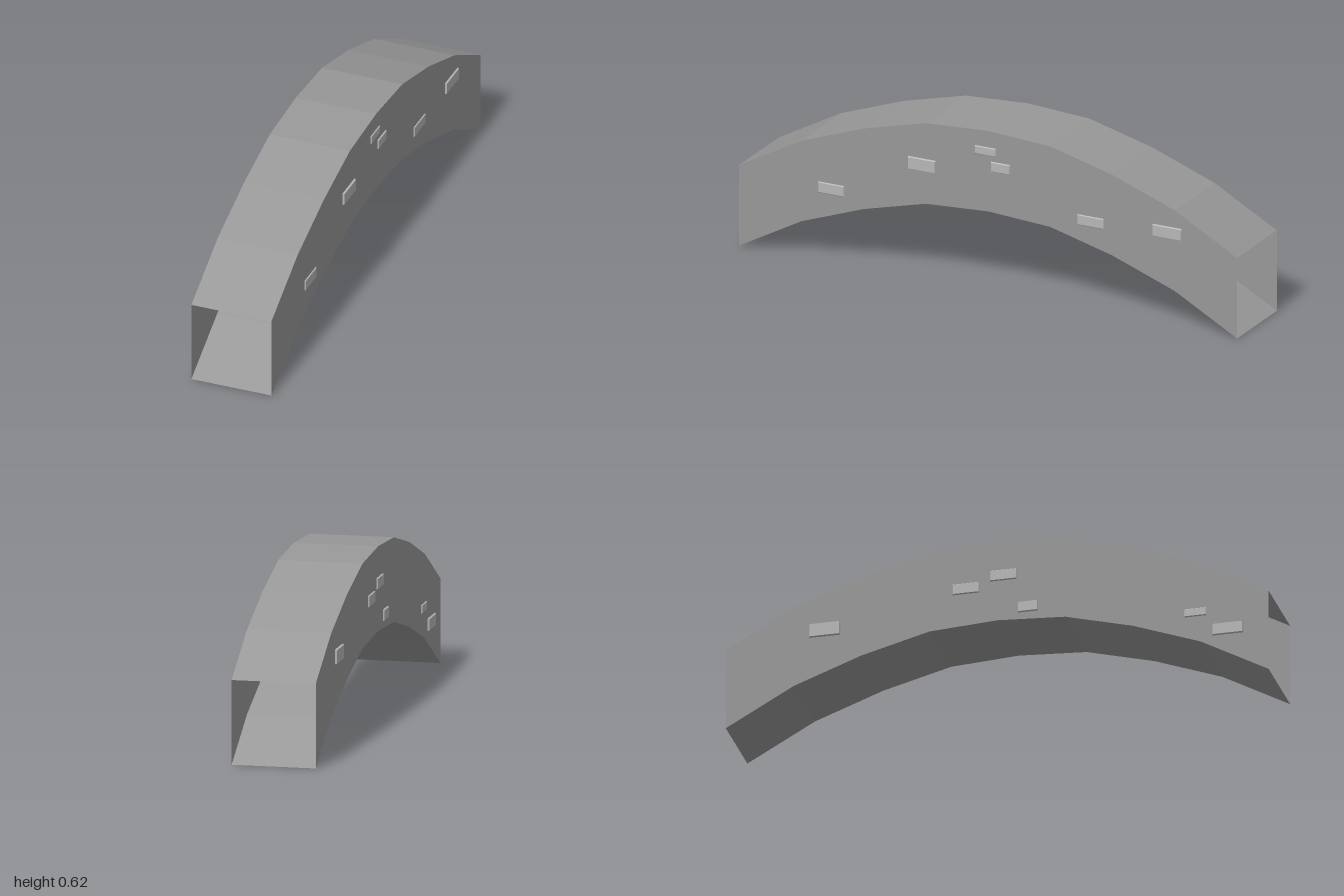
import * as THREE from 'three';

const HALF_WIDTH = 0.154;
const DEPTH = 0.308;
// underside of the arch: z, y
const UNDERSIDE = [
  [1, 0], [0.75, 0.137], [0.5, 0.228], [0.25, 0.293], [0, 0.308],
  [-0.25, 0.293], [-0.5, 0.228], [-0.75, 0.137], [-1, 0],
];

// raised stones on each side: z, y, length, height, projection
const LEFT_STONES = [
  [0.63, 0.281, 0.106, 0.042, 0.004],
  [0.265, 0.44, 0.114, 0.048, 0.007],
  [0.011, 0.537, 0.086, 0.032, 0.004],
  [-0.051, 0.482, 0.078, 0.038, 0.005],
  [-0.412, 0.342, 0.108, 0.04, 0.004],
  [-0.72, 0.356, 0.12, 0.046, 0.006],
];
const RIGHT_STONES = [
  [-0.635, 0.346, 0.115, 0.054, 0.007],
  [-0.115, 0.446, 0.1, 0.042, 0.005],
  [0.023, 0.484, 0.1, 0.042, 0.005],
  [0.113, 0.35, 0.075, 0.042, 0.006],
  [0.73, 0.254, 0.084, 0.032, 0.004],
  [0.85, 0.178, 0.115, 0.046, 0.006],
];

// hollow rectangular band swept along the underside, open at both ends
function archGeometry() {
  const positions = [];
  const section = ([z, y]) => [
    [HALF_WIDTH, y, z], [HALF_WIDTH, y + DEPTH, z],
    [-HALF_WIDTH, y + DEPTH, z], [-HALF_WIDTH, y, z],
  ];
  for (let i = 0; i < UNDERSIDE.length - 1; i++) {
    const a = section(UNDERSIDE[i]);
    const b = section(UNDERSIDE[i + 1]);
    for (let j = 0; j < 4; j++) {
      const k = (j + 1) % 4;
      positions.push(...a[j], ...b[j], ...b[k], ...a[j], ...b[k], ...a[k]);
    }
  }
  const geometry = new THREE.BufferGeometry();
  geometry.setAttribute('position', new THREE.Float32BufferAttribute(positions, 3));
  geometry.computeVertexNormals();
  return geometry;
}

// thin block whose outer face is slightly smaller than its base
function stoneGeometry(length, height, projection, side) {
  const geometry = new THREE.BoxGeometry(projection, height, length);
  const p = geometry.attributes.position;
  const inset = 0.003;
  for (let i = 0; i < p.count; i++) {
    if (p.getX(i) * side > 0) {
      p.setY(i, p.getY(i) - Math.sign(p.getY(i)) * inset);
      p.setZ(i, p.getZ(i) - Math.sign(p.getZ(i)) * inset);
    }
  }
  geometry.computeVertexNormals();
  return geometry;
}

export function createModel() {
  const model = new THREE.Group();
  model.name = 'stoneArch';

  const archMaterial = new THREE.MeshStandardMaterial({
    color: 0x989898, flatShading: true, side: THREE.DoubleSide,
  });
  const stoneMaterial = new THREE.MeshStandardMaterial({ color: 0xb7b7b7, flatShading: true });

  const arch = new THREE.Mesh(archGeometry(), archMaterial);
  arch.name = 'arch';
  model.add(arch);

  // stones seated just outside both side walls, so none show within the hollow
  const seat = HALF_WIDTH + 0.0004;
  for (const [name, side, stones] of [['leftStones', 1, LEFT_STONES], ['rightStones', -1, RIGHT_STONES]]) {
    const group = new THREE.Group();
    group.name = name;
    for (const [z, y, length, height, projection] of stones) {
      const stone = new THREE.Mesh(stoneGeometry(length, height, projection, side), stoneMaterial);
      stone.name = 'stone';
      stone.position.set(side * (seat + projection / 2), y, z);
      group.add(stone);
    }
    model.add(group);
  }
  return model;
}
